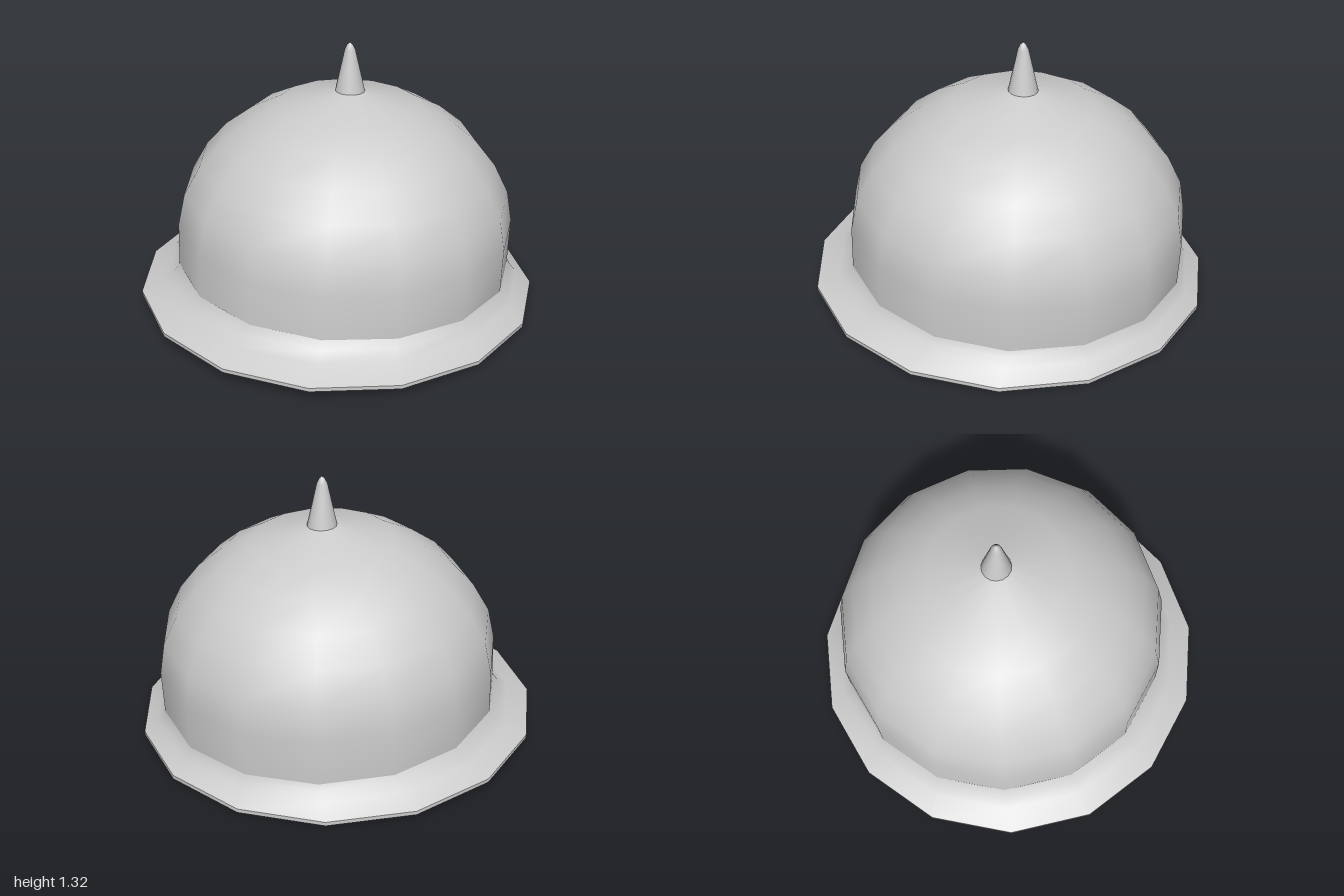
import * as THREE from 'three';

const SIDES = 15;
const FLAT = Math.cos(Math.PI / SIDES); // a flat side faces -x, a corner faces +x

// Lofts tilted 15-sided rings; each ring is [left x, left y, right x, right y].
// Rings run upward on the outside, or outward on the underside.
function loft(name, rings, flatShading = false) {
  const positions = [];
  const index = [];
  rings.forEach(([xl, yl, xr, yr], i) => {
    const radius = (xr - xl) / (1 + FLAT);
    const slope = xr > xl ? (yr - yl) / (xr - xl) : 0;
    for (let j = 0; j < SIDES; j++) {
      const angle = (j / SIDES) * Math.PI * 2;
      const x = xr - radius + radius * Math.cos(angle);
      positions.push(x, yl + slope * (x - xl), radius * Math.sin(angle));
      if (i === rings.length - 1) continue;
      const a = i * SIDES + j;
      const b = i * SIDES + ((j + 1) % SIDES);
      if (xr > xl) index.push(a, a + SIDES, b);
      const next = rings[i + 1];
      if (next[2] > next[0]) index.push(b, a + SIDES, b + SIDES);
    }
  });
  const geometry = new THREE.BufferGeometry();
  geometry.setAttribute('position', new THREE.Float32BufferAttribute(positions, 3));
  geometry.setIndex(index);
  geometry.computeVertexNormals();
  const mesh = new THREE.Mesh(geometry, new THREE.MeshStandardMaterial({ color: 0xcccccc, flatShading }));
  mesh.name = name;
  return mesh;
}

export function createModel() {
  const group = new THREE.Group();
  group.name = 'spikedHelmet';

  // Shared rings where the parts meet
  const rimBottom = [-0.995, 0.066, 0.995, 0];
  const rimTop = [-0.995, 0.085, 0.995, 0.02];
  const collar = [-0.79, 0.21, 0.89, 0.135];
  const spikeBase = [0.01, 1.076, 0.155, 1.07];

  group.add(
    // Shallow recess under the brim
    loft('underside', [[0, 0.08, 0, 0.08], [-0.72, 0.105, 0.72, 0.057], rimBottom], true),
    // Thin outer edge and flared top of the brim
    loft('brimEdge', [rimBottom, rimTop]),
    loft('brimFlare', [rimTop, [-0.875, 0.13, 0.927, 0.075], [-0.82, 0.168, 0.902, 0.11], collar]),
    // Rounded, slightly tilted bowl
    loft('dome', [
      collar,
      [-0.78, 0.43, 0.9, 0.36],
      [-0.742, 0.59, 0.875, 0.518],
      [-0.66, 0.73, 0.805, 0.667],
      [-0.55, 0.85, 0.705, 0.8],
      [-0.41, 0.95, 0.58, 0.907],
      [-0.26, 1.022, 0.435, 0.988],
      spikeBase,
    ]),
    // Tapered spike with a rounded tip
    loft('spike', [
      spikeBase,
      [0.055, 1.285, 0.107, 1.283],
      [0.067, 1.31, 0.094, 1.309],
      [0.081, 1.321, 0.081, 1.321],
    ]),
  );
  return group;
}
